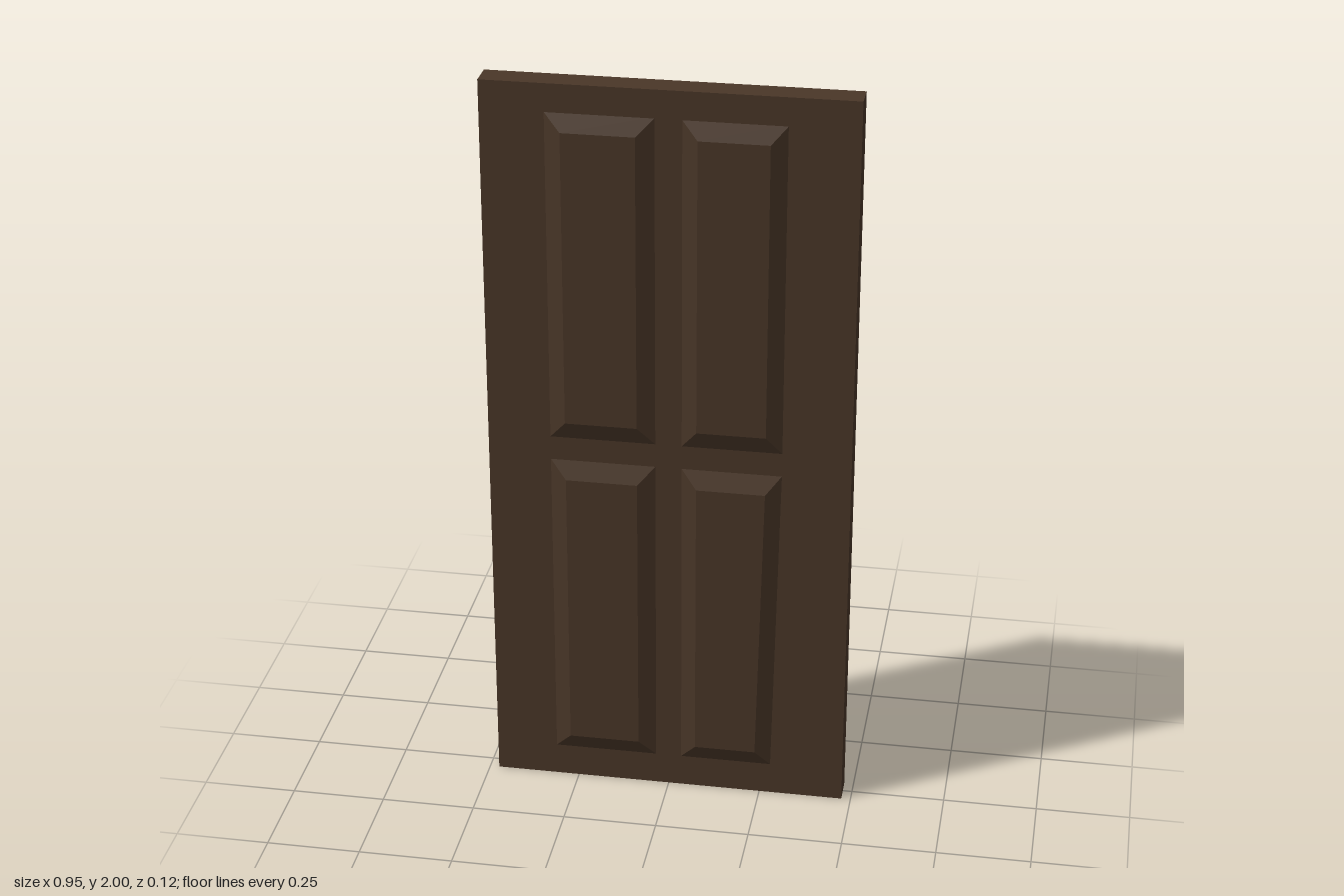
import * as THREE from 'three';

const wood = new THREE.MeshStandardMaterial({ color: 0x4a3728 });
const metal = new THREE.MeshStandardMaterial({ color: 0x424b52 });
const FRONT = 0.039, BACK = -0.034, RAISE = 0.019;

// Box given by its limits on each axis
function block(name, [x0, x1], [y0, y1], [z0, z1], material) {
  const mesh = new THREE.Mesh(new THREE.BoxGeometry(x1 - x0, y1 - y0, z1 - z0), material);
  mesh.position.set((x0 + x1) / 2, (y0 + y1) / 2, (z0 + z1) / 2);
  mesh.name = name;
  return mesh;
}

// Raised panel with bevelled edges; taper draws in the lower outer corner
function raisedPanel(name, { x, y, inX, inY, taper = 0 }, side) {
  const geometry = new THREE.BoxGeometry(1, 1, 1);
  const p = geometry.attributes.position;
  const base = side > 0 ? FRONT : BACK;
  for (let i = 0; i < p.count; i++) {
    const right = p.getX(i) > 0 ? 1 : 0;
    const upper = p.getY(i) > 0 ? 1 : 0;
    const raised = p.getZ(i) * side > 0;
    const shift = right && !upper ? taper : 0;
    p.setXYZ(i, (raised ? inX : x)[right] - shift, (raised ? inY : y)[upper],
      base + side * (raised ? RAISE : -0.002));
  }
  const flat = geometry.toNonIndexed();
  flat.computeVertexNormals();
  const mesh = new THREE.Mesh(flat, wood);
  mesh.name = name;
  return mesh;
}

export function createModel() {
  const door = new THREE.Group();
  door.name = 'door';
  door.add(block('doorSlab', [-0.475, 0.475], [0, 2], [BACK, FRONT], wood));

  // Four raised panels on each face
  const columns = [
    { label: 'Right', x: [-0.315, -0.03], inX: [-0.268, -0.08], taper: 0 },
    { label: 'Left', x: [0.03, 0.3], inX: [0.075, 0.255], taper: 0.017 },
  ];
  const rows = [
    { label: 'lower', y: [0.085, 0.975], inY: [0.135, 0.92] },
    { label: 'upper', y: [1.03, 1.93], inY: [1.085, 1.88] },
  ];
  for (const side of [1, -1])
    for (const row of rows)
      for (const col of columns) {
        const taper = row.label === 'lower' ? col.taper : 0;
        const name = `${row.label}${col.label}Panel${side > 0 ? 'Front' : 'Back'}`;
        door.add(raisedPanel(name, { ...row, ...col, taper }, side));
      }

  // Handle on the back face
  const handle = new THREE.Group();
  handle.name = 'handle';
  handle.add(block('backPlate', [0.355, 0.437], [1.01, 1.195], [-0.038, -0.03], metal));

  const stem = new THREE.Mesh(new THREE.CylinderGeometry(0.012, 0.012, 0.024, 8), metal);
  stem.rotation.x = Math.PI / 2;
  stem.position.set(0.396, 1.13, -0.048);
  stem.name = 'handleStem';
  handle.add(stem);

  const lever = block('handleLever', [0.325, 0.408], [1.119, 1.141], [-0.06, -0.045], metal);
  handle.add(lever);
  door.add(handle);
  return door;
}
